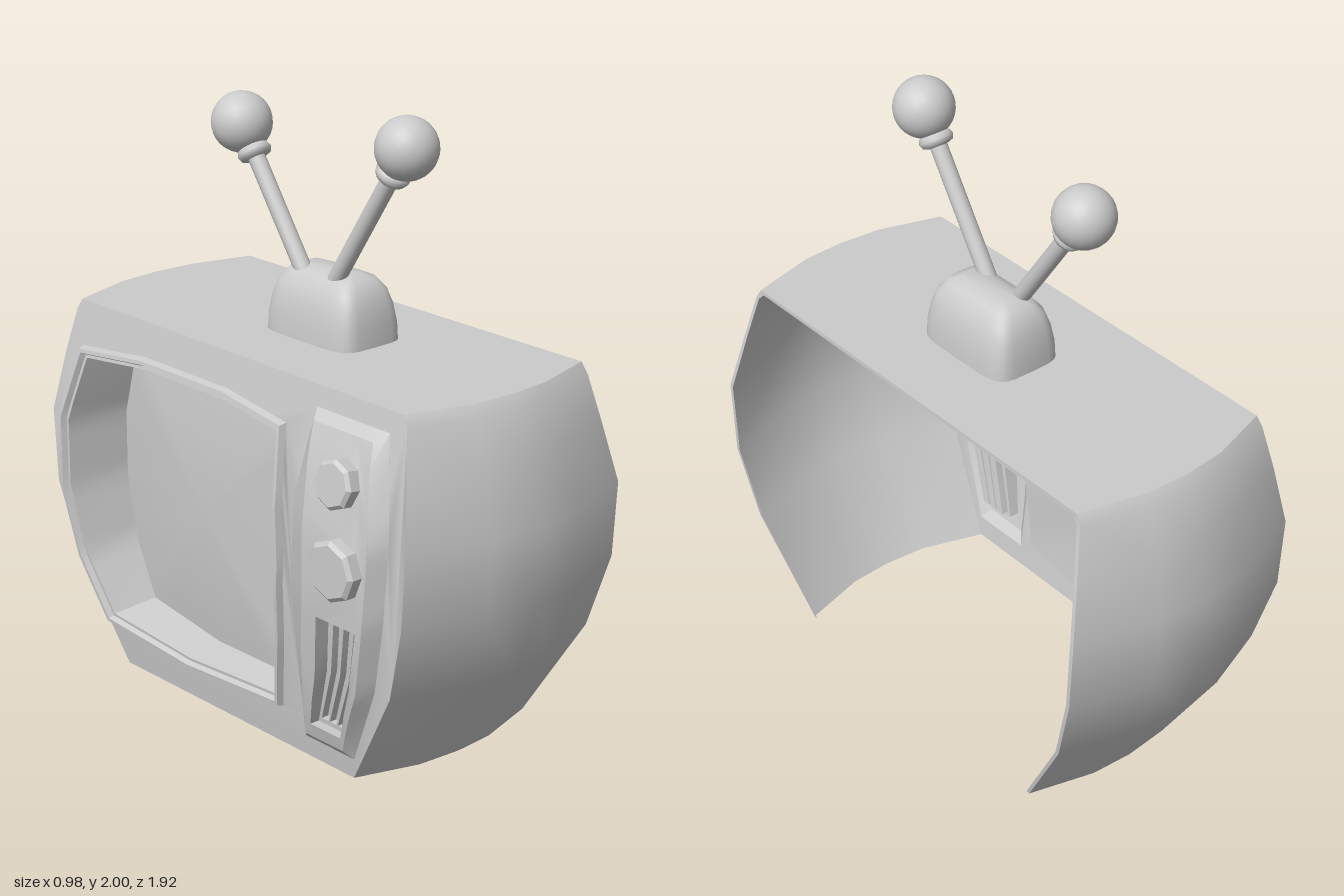
import * as THREE from 'three';
import { toCreasedNormals } from 'three/addons/utils/BufferGeometryUtils.js';

const smooth = new THREE.MeshStandardMaterial({ color: 0xcccccc, side: THREE.DoubleSide });
const faceted = new THREE.MeshStandardMaterial({ color: 0xcccccc, side: THREE.DoubleSide, flatShading: true });
const TOP = 1.235;

// cabinet profile rows: height, half width at the front, front x, back x, side bulge
const ROWS = [
  [0, 0.555, -0.33, 0.4, 0.085], [0.35, 0.755, -0.375, 0.46, 0.11], [0.6, 0.825, -0.4, 0.485, 0.125],
  [0.85, 0.84, -0.4, 0.485, 0.12], [1.05, 0.805, -0.367, 0.44, 0.1], [1.2, 0.775, -0.337, 0.405, 0.09], [TOP, 0.755, -0.33, 0.4, 0.08],
];
// depth fraction and bulge fraction along the sides
const COLUMNS = [[0, 0], [0.29, 0.83], [0.5, 1], [0.7, 0.9], [1, 0.18]];

// height-dependent x of the front, and surfaces lifted off it
function frontX(y) {
  const i = Math.max(1, ROWS.findIndex((r) => r[0] >= y - 1e-6));
  const [a, b] = [ROWS[i - 1], ROWS[i]];
  return THREE.MathUtils.lerp(a[2], b[2], (y - a[0]) / (b[0] - a[0]));
}
const lift = (d) => (y) => frontX(y) - d;
const padX = (y) => frontX(y) - 0.052 * (1 - ((y - 0.62) / 0.62) ** 4);

function mesh(name, geometry, material = smooth) {
  const m = new THREE.Mesh(geometry, material);
  m.name = name;
  return m;
}

// skin over a list of equally long rows of [x, y, z] points
function loft(rows, closed = true) {
  const n = rows[0].length, index = [];
  for (let i = 0; i < rows.length - 1; i++) {
    for (let j = 0; j < (closed ? n : n - 1); j++) {
      const k = (j + 1) % n, a = i * n + j, b = i * n + k;
      index.push(a, b, a + n, b, b + n, a + n);
    }
  }
  const g = new THREE.BufferGeometry();
  g.setAttribute('position', new THREE.Float32BufferAttribute(rows.flat(2), 3));
  g.setIndex(index);
  return toCreasedNormals(g, 0.6);
}

// add points along each edge of a [z, y] polygon
function dense(poly, n = 4) {
  return poly.flatMap(([z, y], i) => {
    const [z2, y2] = poly[(i + 1) % poly.length];
    return Array.from({ length: n }, (_, k) => [z + (z2 - z) * k / n, y + (y2 - y) * k / n]);
  });
}

// shrink a [z, y] polygon by about d on every side
function inset(poly, d, dy = d) {
  const zs = poly.map((p) => p[0]), ys = poly.map((p) => p[1]);
  const z0 = Math.min(...zs), z1 = Math.max(...zs), y0 = Math.min(...ys), y1 = Math.max(...ys);
  const cz = (z0 + z1) / 2, cy = (y0 + y1) / 2, sz = 1 - 2 * d / (z1 - z0), sy = 1 - 2 * dy / (y1 - y0);
  return poly.map(([z, y]) => [cz + (z - cz) * sz, cy + (y - cy) * sy]);
}

// place a [z, y] polygon on a curved surface
const onFront = (poly, curve = frontX) => poly.map(([z, y]) => [curve(y), y, z]);

// plate with holes, bent to a curved surface
function plate(outline, holes = [], curve = frontX) {
  const vec = (p) => p.map(([z, y]) => new THREE.Vector2(z, y));
  const shape = new THREE.Shape(vec(outline));
  shape.holes = holes.map((h) => new THREE.Path(vec(h)));
  const g = new THREE.ShapeGeometry(shape), p = g.attributes.position;
  for (let i = 0; i < p.count; i++) p.setXYZ(i, curve(p.getY(i)), p.getY(i), p.getX(i));
  g.computeVertexNormals();
  return g;
}

function octagon(z, y, r) {
  return Array.from({ length: 8 }, (_, i) => [z + r * Math.sin(-i * Math.PI / 4), y + r * Math.cos(i * Math.PI / 4)]);
}

// rounded rectangle loop at height y
function roundLoop(y, cx, cz, hx, hz) {
  return Array.from({ length: 32 }, (_, i) => {
    const a = i / 32 * Math.PI * 2, c = Math.cos(a), s = Math.sin(a), e = 0.4;
    return [cx + hx * Math.sign(c) * Math.abs(c) ** e, y, cz - hz * Math.sign(s) * Math.abs(s) ** e];
  });
}

export function createModel() {
  const model = new THREE.Group();

  // bulging side walls, open at the back and below
  const wallRows = (side) => ROWS.map(([y, w, xf, xb, bulge]) => {
    const row = COLUMNS.map(([t, b]) => [xf + (xb - xf) * t, y, side * (w + bulge * b)]);
    return side > 0 ? row : row.reverse();
  });
  const left = wallRows(1), right = wallRows(-1);
  model.add(mesh('sideWall', loft(left, false)), mesh('sideWall', loft(right, false)));

  // narrow lip around the open back
  const backEdge = [...left.map((r) => r.at(-1)), ...right.map((r) => r[0]).reverse()];
  const lip = backEdge.map(([x, y, z]) => [x, Math.min(y, TOP - 0.014), z - Math.sign(z) * 0.014]);
  model.add(mesh('backLip', loft([backEdge, lip], false)));

  // top panel, open under the antenna base
  const baseLoops = [[TOP, 0.133, 0.2], [1.29, 0.13, 0.198], [1.35, 0.119, 0.188], [1.4, 0.102, 0.172], [1.435, 0.072, 0.145], [1.45, 0.035, 0.11], [1.452, 0, 0]]
    .map(([y, hx, hz]) => roundLoop(y, 0.033, 0.055, hx, hz));
  const flat = (pts) => pts.map(([x, , z]) => new THREE.Vector2(x, -z));
  const topShape = new THREE.Shape(flat([...left.at(-1), ...right.at(-1)]));
  topShape.holes.push(new THREE.Path(flat(baseLoops[0])));
  model.add(mesh('topPanel', new THREE.ShapeGeometry(topShape).rotateX(-Math.PI / 2).translate(0, TOP, 0)));
  model.add(mesh('antennaBase', loft(baseLoops)));

  // antennas with collars and balls
  for (const [z0, z1, y1] of [[0.1, 0.425, 1.9], [-0.01, -0.32, 1.85]]) {
    const from = new THREE.Vector3(-0.012, 1.4, z0), to = new THREE.Vector3(-0.012, y1, z1);
    const dir = to.clone().sub(from), length = dir.length();
    const antenna = new THREE.Group();
    antenna.name = 'antenna';
    const ball = mesh('antennaBall', new THREE.SphereGeometry(0.098, 24, 16));
    ball.position.y = length;
    const collar = mesh('antennaCollar', new THREE.TorusGeometry(0.034, 0.022, 8, 20).rotateX(Math.PI / 2));
    collar.position.y = length - 0.105;
    antenna.add(mesh('antennaRod', new THREE.CylinderGeometry(0.028, 0.028, length, 14).translate(0, length / 2, 0)), collar, ball);
    antenna.position.copy(from);
    antenna.quaternion.setFromUnitVectors(new THREE.Vector3(0, 1, 0), dir.normalize());
    model.add(antenna);
  }

  // front outlines as [z, y], counterclockwise
  const screen = dense([[0.28, 1.09], [0, 1.125], [-0.4, 1.125], [-0.72, 1.09], [-0.79, 0.85], [-0.79, 0.6], [-0.735, 0.35],
    [-0.62, 0.14], [-0.2, 0.11], [0.25, 0.14], [0.29, 0.4], [0.31, 0.65], [0.3, 0.9]]);
  const pad = dense([[0.71, 1.17], [0.4, 1.17], [0.355, 0.9], [0.345, 0.6], [0.345, 0.35], [0.345, 0.07],
    [0.565, 0.07], [0.69, 0.35], [0.75, 0.6], [0.77, 0.85]]);
  const padTop = dense([[0.675, 1.14], [0.42, 1.14], [0.45, 0.9], [0.45, 0.6], [0.42, 0.35], [0.38, 0.1],
    [0.545, 0.1], [0.66, 0.35], [0.715, 0.6], [0.735, 0.85]]);
  const ventLeft = [[0.68, 0.56], [0.63, 0.35], [0.55, 0.15]], ventRight = [[0.51, 0.56], [0.48, 0.35], [0.415, 0.15]];
  const ventStrip = (u0, u1) => {
    const at = (u) => ventLeft.map(([z, y], i) => [z + (ventRight[i][0] - z) * u, y]);
    return dense([...at(u1), ...at(u0).reverse()], 2);
  };
  const vent = ventStrip(0, 1);

  // front panel
  const edge = [...ROWS.map(([y, w]) => [w, y]), ...ROWS.map(([y, w]) => [-w, y]).reverse()];
  model.add(mesh('frontPanel', plate(dense(edge), [screen, pad])));

  // screen rim, recess and slightly domed glass, deeper towards the right
  const glassRing = (s) => inset(screen, 0.065, 0.062).map(([z, y]) => {
    const gz = -0.23 + (z + 0.24) * s;
    return [-0.25 - 0.079 * gz - 0.03 * (1 - s * s), 0.62 + (y - 0.62) * s, gz];
  });
  model.add(mesh('screenBezel', loft([onFront(screen), onFront(inset(screen, 0.006), lift(0.022)), onFront(inset(screen, 0.018), lift(0.022)),
    onFront(inset(screen, 0.026), lift(0.004)), onFront(inset(screen, 0.036), lift(0.004)), glassRing(1)])));
  model.add(mesh('screenGlass', loft([1, 0.8, 0.55, 0.3, 0].map(glassRing))));

  // raised control panel, sloping gently towards the screen
  const knobs = [[0.59, 1.0, 0.078, 0.045, 0.15], [0.615, 0.75, 0.098, 0.045, 0]];
  model.add(mesh('controlPanelEdge', loft([onFront(pad), onFront(padTop, padX)])));
  model.add(mesh('controlPanel', plate(padTop, [vent, ...knobs.map(([z, y, r]) => octagon(z, y, r * 0.97))], padX)));

  // eight-sided hollow knobs
  for (const [z, y, r, h, tilt] of knobs) {
    const profile = [[r, -0.012], [r, h * 0.75], [r * 0.86, h], [0, h]].map((p) => new THREE.Vector2(...p));
    const knob = mesh('knob', new THREE.LatheGeometry(profile, 8), faceted);
    knob.position.set(padX(y), y, z);
    knob.rotation.z = Math.PI / 2 - tilt;
    model.add(knob);
  }

  // speaker vent: recess and a floor with grooves sunk into it
  const grooves = [0, 1, 2].map((i) => inset(ventStrip(0.12 + i * 0.27, 0.34 + i * 0.27), 0, 0.015));
  model.add(mesh('ventRecess', loft([onFront(vent, padX), onFront(vent)])), mesh('ventFloor', plate(vent, grooves)));
  for (const groove of grooves) {
    model.add(mesh('ventGroove', loft([onFront(groove), onFront(groove, lift(-0.025))])), mesh('ventGrooveFloor', plate(groove, [], lift(-0.025))));
  }
  return model;
}
